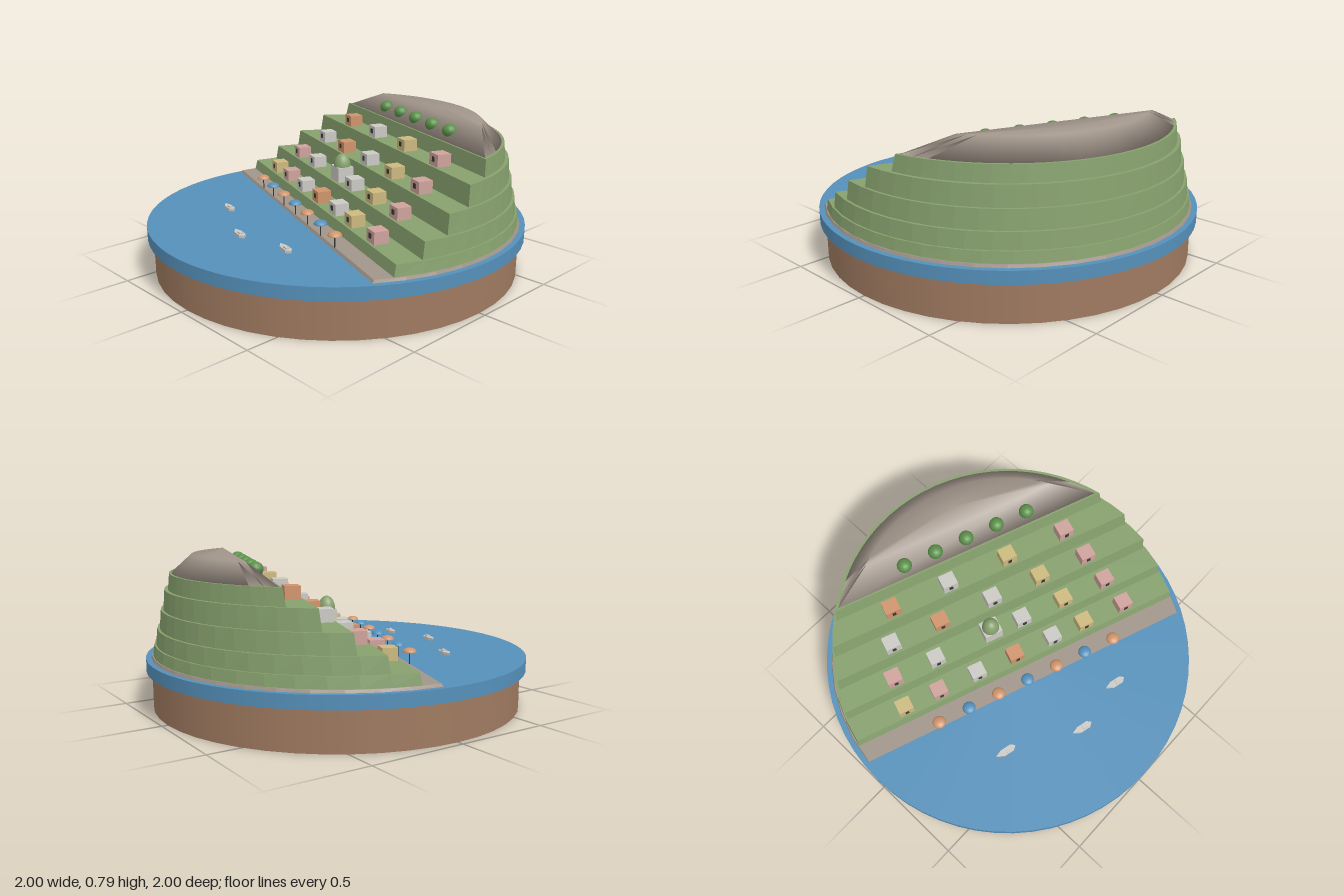
import * as THREE from 'three';

const mat = (name, color) => Object.assign(new THREE.MeshStandardMaterial({ color }), { name });

// Circle cut by a straight front edge at z = front; the arc runs round the back.
function segmentRing(radius, front, y, steps) {
  const start = Math.asin(front / radius);
  return Array.from({ length: steps + 1 }, (_, i) => {
    const a = start - (i / steps) * (Math.PI + 2 * start);
    return [radius * Math.cos(a), y, radius * Math.sin(a)];
  });
}

// Closed slab between a lower and an upper cut circle.
function slab([r0, f0, y0], [r1, f1, y1], smooth = false, steps = 24) {
  const n = steps + 1;
  const points = [
    ...segmentRing(r0, f0, y0, steps), ...segmentRing(r1, f1, y1, steps),
    [0, y0, (f0 - r0) / 2], [0, y1, (f1 - r1) / 2],
  ];
  const index = [];
  for (let i = 0; i < n; i++) {
    const j = (i + 1) % n;
    index.push(i, j, n + j, i, n + j, n + i);
    index.push(2 * n, j, i, 2 * n + 1, n + i, n + j);
  }
  let geometry = new THREE.BufferGeometry();
  geometry.setAttribute('position', new THREE.Float32BufferAttribute(points.flat(), 3));
  geometry.setIndex(index);
  if (!smooth) geometry = geometry.toNonIndexed();
  geometry.computeVertexNormals();
  return geometry;
}

export function createModel() {
  const earth = mat('earth brown', 0x9f7a60);
  const water = mat('sea blue', 0x5590ba);
  const stone = mat('stone grey', 0xa1958a);
  const grass = mat('terrace green', 0x87a16e);
  const leaf = mat('tree green', 0x5a8f48);
  const white = mat('white plaster', 0xcbc9c4);
  const orange = mat('terracotta', 0xd0946c);
  const yellow = mat('ochre plaster', 0xcdb97f);
  const pink = mat('pink plaster', 0xcfa29c);
  const dark = mat('dark wood', 0x3a3836);

  const model = new THREE.Group();
  const add = (parent, name, geometry, material, x = 0, y = 0, z = 0) => {
    const mesh = new THREE.Mesh(geometry, material);
    mesh.name = name;
    mesh.position.set(x, y, z);
    parent.add(mesh);
    return mesh;
  };
  const group = (parent, name, x = 0, y = 0, z = 0) => {
    const g = new THREE.Group();
    g.name = name;
    g.position.set(x, y, z);
    parent.add(g);
    return g;
  };

  // Round base and sea
  add(model, 'base', new THREE.CylinderGeometry(0.97, 0.97, 0.2, 48), earth, 0, 0.1, 0);
  add(model, 'sea', new THREE.CylinderGeometry(1, 1, 0.066, 64), water, 0, 0.233, 0);

  // Everything on the hillside is turned together
  const hill = group(model, 'hillside');
  hill.rotation.y = -0.35;
  add(hill, 'promenade', slab([0.975, 0.246, 0.262], [0.968, 0.236, 0.28]), stone);

  // Stepped terraces: radius, front edge, top height
  const terraces = [
    [0.955, 0.134, 0.335], [0.938, -0.008, 0.416], [0.917, -0.148, 0.512],
    [0.896, -0.286, 0.613], [0.87, -0.424, 0.695],
  ];
  let floor = 0.28;
  terraces.forEach(([r, f, top], i) => {
    add(hill, `terrace${i + 1}`, slab([r + 0.008, f + 0.012, floor], [r, f, top]), grass);
    floor = top;
  });

  // Rocky summit with sloping sides
  add(hill, 'summit', slab([0.862, -0.428, 0.69], [0.755, -0.545, 0.787], true), stone);

  // Trees along the summit's front slope
  for (let i = -2; i <= 2; i++) {
    add(hill, 'tree', new THREE.SphereGeometry(0.039, 14, 10), leaf, i * 0.174, 0.74, -0.48)
      .scale.y = 0.9;
  }

  // Houses: one row per terrace, as [position along the row, wall colour]
  const rows = [
    [[-0.65, yellow], [-0.45, pink], [-0.225, white], [0, orange], [0.227, white], [0.42, yellow], [0.666, pink]],
    [[-0.637, pink], [-0.394, white], [0.112, white], [0.362, yellow], [0.618, pink]],
    [[-0.572, white], [-0.295, orange], [0.007, white], [0.29, yellow], [0.567, pink]],
    [[-0.497, orange], [-0.176, white], [0.164, yellow], [0.5, pink]],
  ];
  const walls = new THREE.BoxGeometry(0.08, 0.062, 0.075);
  const pane = new THREE.BoxGeometry(0.02, 0.025, 0.004);
  rows.forEach((row, i) => {
    const [, front, top] = terraces[i];
    for (const [x, color] of row) {
      const house = group(hill, 'house', x, top, front - 0.051);
      add(house, 'walls', walls, color, 0, 0.031, 0);
      add(house, 'window', pane, dark, 0, 0.034, 0.039);
    }
  });

  // Domed chapel
  const chapel = group(hill, 'chapel', -0.068, 0.416, -0.068);
  add(chapel, 'chapelWalls', new THREE.BoxGeometry(0.098, 0.08, 0.09), white, 0, 0.04, 0);
  add(chapel, 'dome', new THREE.SphereGeometry(0.046, 16, 8, 0, Math.PI * 2, 0, Math.PI / 2), grass, 0, 0.08, 0)
    .scale.y = 1.5;

  // Parasols along the waterfront
  const canopy = new THREE.SphereGeometry(0.035, 16, 5, 0, Math.PI * 2, 0, Math.PI / 2);
  for (let i = -3; i <= 3; i++) {
    const parasol = group(hill, 'parasol', i * 0.174, 0.265, 0.235);
    add(parasol, 'pole', new THREE.CylinderGeometry(0.003, 0.003, 0.075, 6), dark, 0, 0.037, 0);
    const color = i % 2 ? orange : water;
    add(parasol, 'canopy', canopy, color, 0, 0.073, 0).scale.y = 0.6;
    add(parasol, 'canopyUnderside', new THREE.CircleGeometry(0.035, 16), color, 0, 0.073, 0)
      .rotation.x = Math.PI / 2;
  }

  // Small boats with pointed hulls
  const hullShape = new THREE.Shape([
    [-0.062, 0.004], [-0.025, -0.018], [0.035, -0.018], [0.055, 0], [0.035, 0.018], [-0.025, 0.018],
  ].map(([x, y]) => new THREE.Vector2(x, y)));
  const hull = new THREE.ExtrudeGeometry(hullShape, { depth: 0.014, bevelEnabled: false });
  hull.rotateX(-Math.PI / 2);
  for (const [x, z] of [[-0.43, 0.395], [-0.06, 0.605], [0.25, 0.57]]) {
    const boat = group(model, 'boat', x, 0.266, z);
    boat.rotation.y = -0.24;
    add(boat, 'hull', hull, white);
    add(boat, 'cabin', new THREE.BoxGeometry(0.028, 0.008, 0.02), white, 0.012, 0.017, 0);
  }

  return model;
}
